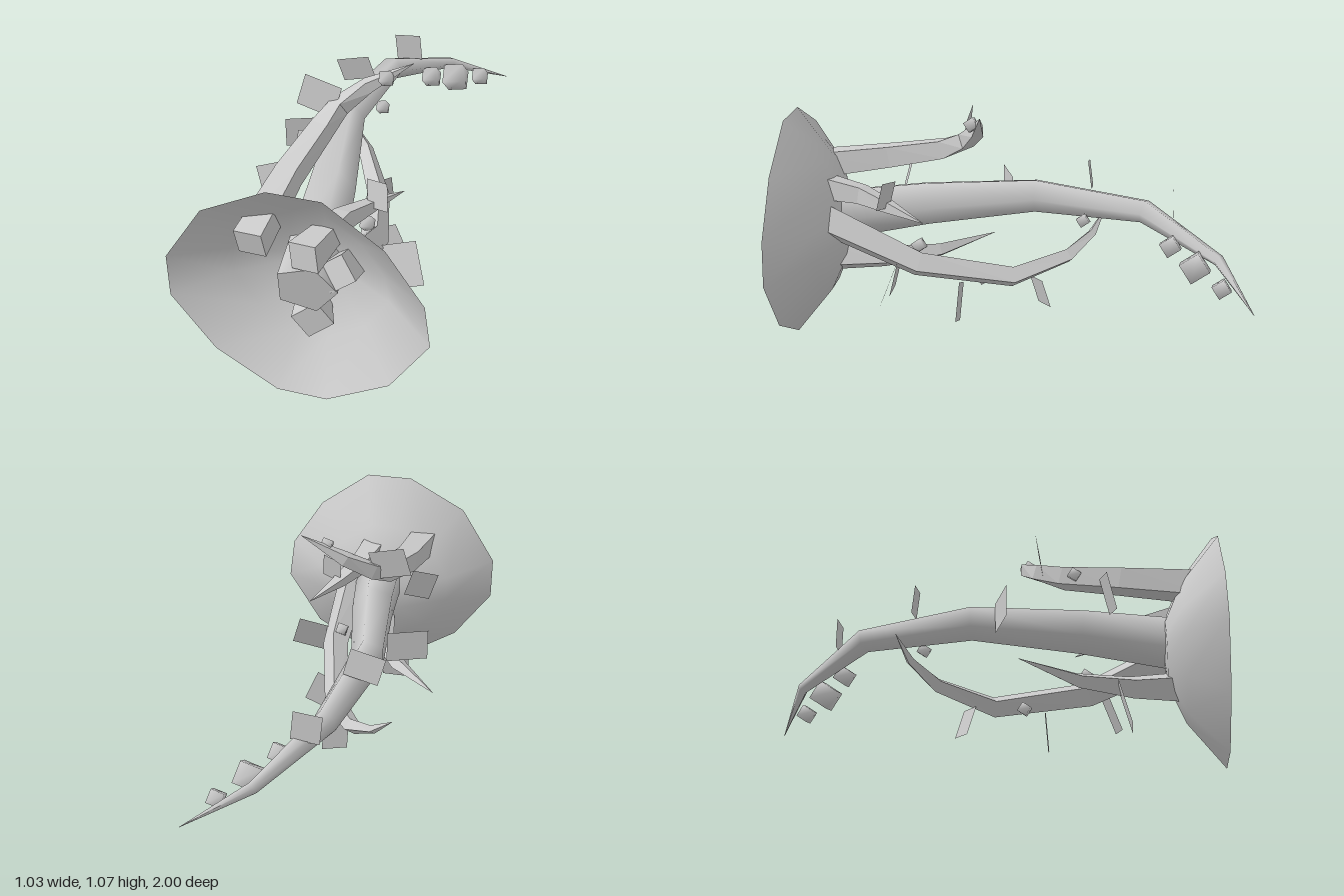
import * as THREE from 'three';
import { mergeVertices } from 'three/addons/utils/BufferGeometryUtils.js';

const smooth = new THREE.MeshStandardMaterial({ color: 0xcccccc, side: THREE.DoubleSide });
const faceted = new THREE.MeshStandardMaterial({ color: 0xcccccc, flatShading: true, side: THREE.DoubleSide });

function indexed(pos, idx) {
  const g = new THREE.BufferGeometry();
  g.setAttribute('position', new THREE.Float32BufferAttribute(pos, 3));
  g.setIndex(idx);
  g.computeVertexNormals();
  return g;
}

// Tapered stalk lofted along stations [x, y, z, radius], closed at its thick end
function stalk(stations, sides, roll) {
  const c = stations.map(s => new THREE.Vector3(s[0], s[1], s[2]));
  const pos = [], idx = [], n = c.length;
  c.forEach((p, i) => {
    const t = c[Math.min(i + 1, n - 1)].clone().sub(c[Math.max(i - 1, 0)]).normalize();
    const up = new THREE.Vector3(0, 1, 0).addScaledVector(t, -t.y).normalize();
    const side = up.clone().cross(t);
    for (let j = 0; j < sides; j++) {
      const a = roll + (j / sides) * Math.PI * 2, r = stations[i][3];
      const v = p.clone().addScaledVector(side, Math.cos(a) * r).addScaledVector(up, Math.sin(a) * r);
      pos.push(v.x, v.y, v.z);
    }
  });
  for (let i = 0; i < n - 1; i++) {
    for (let j = 0; j < sides; j++) {
      const k = (j + 1) % sides, a = i * sides, b = a + sides;
      idx.push(a + j, a + k, b + k, a + j, b + k, b + j);
    }
  }
  // Cap with its own vertices so its rim stays sharp
  const cap = pos.length / 3;
  pos.push(...pos.slice(0, sides * 3));
  for (let j = 1; j < sides - 1; j++) idx.push(cap, cap + j + 1, cap + j);
  return indexed(pos, idx);
}

// Shallow open bowl facing forward, with an uneven twelve-sided rim
function bowl() {
  const rim = [[0.11, 0.495], [-0.1, 0.495], [-0.36, 0.355], [-0.52, 0.1], [-0.52, -0.095], [-0.35, -0.335],
    [-0.1, -0.495], [0.105, -0.495], [0.36, -0.345], [0.515, -0.095], [0.49, 0.095], [0.34, 0.325]];
  const rings = [[1, 1], [0.61, 0.845], [0.28, 0.775]];
  const pos = [], idx = [], n = rim.length;
  for (const [s, z] of rings) for (const [x, y] of rim) pos.push(x * s, 0.495 + y * s, z);
  pos.push(0, 0.495, 0.765);
  for (let j = 0; j < n; j++) {
    const k = (j + 1) % n;
    for (let i = 0; i < rings.length - 1; i++) {
      const a = i * n, b = a + n;
      idx.push(a + j, a + k, b + k, a + j, b + k, b + j);
    }
    const last = (rings.length - 1) * n;
    idx.push(last + j, last + k, rings.length * n);
  }
  return indexed(pos, idx);
}

export function createModel() {
  const model = new THREE.Group();
  const add = (name, geometry, material) => {
    const mesh = new THREE.Mesh(geometry, material);
    mesh.name = name;
    model.add(mesh);
    return mesh;
  };

  add('bowl', bowl(), smooth);

  add('mainStalk', stalk([
    [0.02, 0.525, 0.96, 0.125], [-0.045, 0.597, 0.42, 0.1], [-0.118, 0.625, -0.05, 0.077],
    [-0.045, 0.6, -0.53, 0.054], [0.165, 0.475, -0.85, 0.026], [0.42, 0.35, -0.995, 0.001],
  ], 5, Math.PI), smooth);

  // Square side branches
  const branches = {
    upperBranch: [0.72, [[-0.19, 0.7, 0.96, 0.08], [-0.16, 0.765, 0.6, 0.065], [-0.105, 0.825, 0.35, 0.055],
      [-0.06, 0.88, 0.245, 0.045], [0.04, 0.955, 0.18, 0.035], [0.22, 1.065, 0.14, 0.001]]],
    shortBranch: [0.64, [[0.022, 0.69, 0.97, 0.08], [0.085, 0.665, 0.68, 0.05], [0.15, 0.64, 0.55, 0.033],
      [0.25, 0.61, 0.38, 0.001]]],
    lowerBranch: [0.15, [[0.13, 0.595, 0.92, 0.08], [0.14, 0.375, 0.43, 0.06], [0.045, 0.295, 0.03, 0.05],
      [-0.08, 0.355, -0.2, 0.036], [-0.19, 0.425, -0.3, 0.02], [-0.28, 0.51, -0.35, 0.001]]],
    bottomBranch: [0.2, [[0.035, 0.345, 0.93, 0.084], [-0.05, 0.32, 0.62, 0.055], [-0.17, 0.31, 0.4, 0.036],
      [-0.37, 0.33, 0.17, 0.001]]],
  };
  for (const [name, [roll, path]] of Object.entries(branches)) add(name, stalk(path, 4, roll), faceted);

  // Thin leaves: position, width, height, rotation
  const leaves = [
    [-0.15, 0.72, -0.29, 0.15, 0.12, 0.15, 0.05, 0.25],
    [0, 0.645, -0.655, 0.12, 0.13, 0.03, 0, 0.1],
    [0.265, 0.34, 0.53, 0.19, 0.19, -0.38, 0.05, 0.3],
    [0.15, 0.21, 0.25, 0.14, 0.17, -0.05, 0, 0.4],
    [-0.145, 0.915, 0.25, 0.16, 0.14, -0.15, 0, -0.25],
    [0.02, 0.22, -0.09, 0.12, 0.13, 0.3, 0.6, 0],
    [-0.24, 0.67, 0.54, 0.12, 0.16, -0.3, 0.2, 0.3],
    [0.185, 0.7, 0.55, 0.1, 0.12, -0.2, -0.4, 0.1],
    [-0.26, 0.61, 0.09, 0.18, 0.14, 0, 0.36, 0],
    [-0.12, 0.21, 0.59, 0.13, 0.2, -0.25, 0, 0],
  ];
  for (const [x, y, z, w, h, rx, ry, rz] of leaves) {
    const leaf = add('leaf', new THREE.PlaneGeometry(w, h), faceted);
    leaf.position.set(x, y, z);
    leaf.rotation.set(rx, ry, rz);
  }

  // Soft-shaded cubic berries: position, size
  const box = new THREE.BoxGeometry(1, 1, 1);
  box.deleteAttribute('normal');
  box.deleteAttribute('uv');
  const berry = mergeVertices(box);
  berry.computeVertexNormals();
  const berries = [
    [0.31, 0.41, -0.865, 0.058], [0.21, 0.455, -0.755, 0.092], [0.115, 0.505, -0.65, 0.066],
    [-0.02, 0.55, -0.27, 0.043], [0.11, 0.45, 0.43, 0.046], [0, 0.262, 0.165, 0.043],
    [0.12, 1.008, 0.19, 0.045], [-0.16, 0.81, 0.4, 0.043],
  ];
  berries.forEach(([x, y, z, s]) => {
    const b = add('berry', berry, smooth);
    b.position.set(x, y, z);
    b.scale.setScalar(s);
    b.rotation.set(0.6, 0.1, 0.25);
  });
  return model;
}
